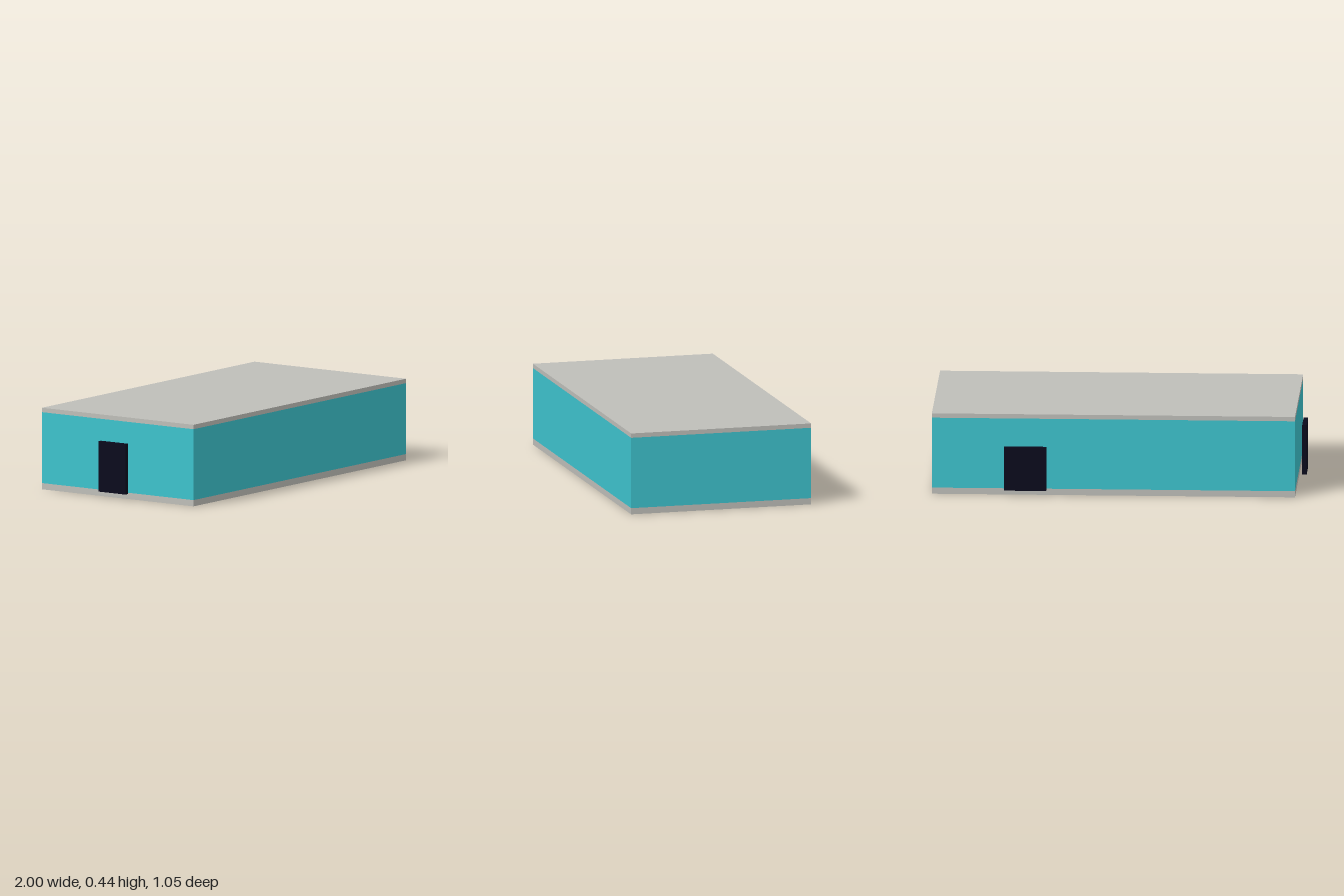
import * as THREE from 'three';

const material = (name, color) => {
  const m = new THREE.MeshStandardMaterial({ color });
  m.name = name;
  return m;
};

export function createModel() {
  const concrete = material('concrete grey', 0xbebeb9);
  const teal = material('teal wall', 0x3dc3cd);
  const dark = material('dark door', 0x0a0a1c);

  const model = new THREE.Group();
  model.name = 'building';

  // Box given by its extents along each axis
  const block = (name, mat, [x0, x1], [y0, y1], [z0, z1]) => {
    const mesh = new THREE.Mesh(new THREE.BoxGeometry(x1 - x0, y1 - y0, z1 - z0), mat);
    mesh.position.set((x0 + x1) / 2, (y0 + y1) / 2, (z0 + z1) / 2);
    mesh.name = name;
    model.add(mesh);
  };

  // Stacked body: floor slab, walls and roof slab share one footprint
  const width = [-0.955, 1];
  const depth = [-0.481, 0.524];
  block('floorSlab', concrete, width, [0, 0.034], depth);
  block('walls', teal, width, [0.034, 0.42], depth);
  block('roofSlab', concrete, width, [0.42, 0.444], depth);

  // Door panels standing just clear of the walls
  block('sideDoor', dark, [-1, -0.976], [0.031, 0.305], [-0.075, 0.105]);
  block('backDoor', dark, [0.383, 0.61], [0.031, 0.27], [-0.524, -0.5]);

  return model;
}
